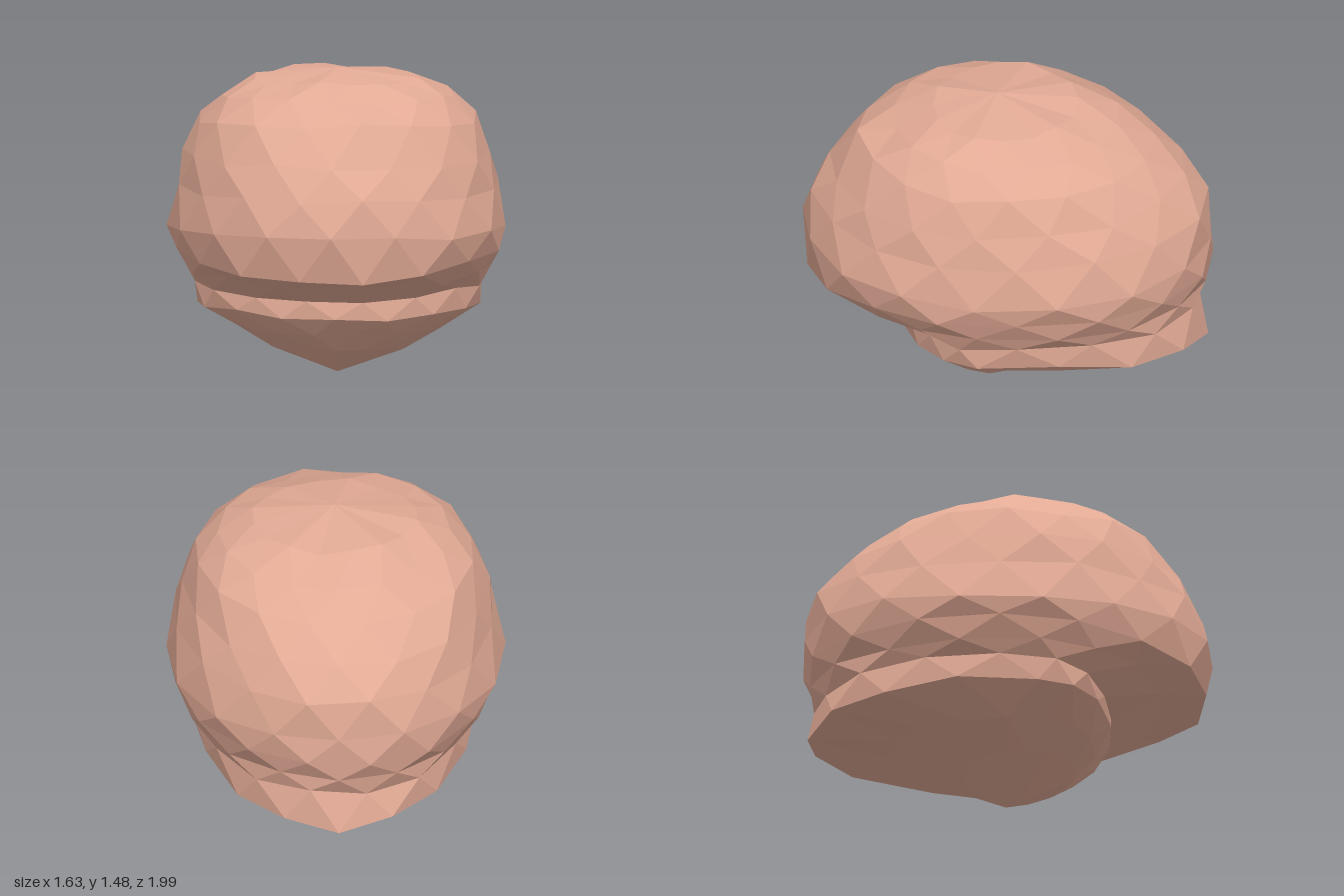
import * as THREE from 'three';

const SEGMENTS = 16;
const CENTRE_Z = 0.05;

// Tilted rings, bottom to top: [front z, front y, side x, side y, back z, back y]
const RINGS = [
  [0.33, 0.15, 0.31, 0.12, -0.20, 0.12], // pointed underside
  [0.43, 0.22, 0.50, 0.22, -0.56, 0.21],
  [0.51, 0.30, 0.68, 0.345, -0.97, 0.26], // lower rim
  [0.50, 0.39, 0.70, 0.44, -0.93, 0.44], // crease
  [0.77, 0.50, 0.74, 0.51, -0.96, 0.53], // overhang underside
  [0.98, 0.54, 0.79, 0.61, -1.00, 0.63], // overhang rim
  [1.01, 0.77, 0.82, 0.71, -0.99, 0.78], // widest part
  [0.96, 0.94, 0.77, 0.91, -0.96, 0.95],
  [0.87, 1.09, 0.74, 1.07, -0.86, 1.10],
  [0.73, 1.28, 0.68, 1.23, -0.70, 1.23],
  [0.56, 1.37, 0.56, 1.34, -0.53, 1.35],
  [0.37, 1.43, 0.40, 1.425, -0.33, 1.425], // crown edge
];

// Repeatable small variation in 0..1
function vary(i, j) {
  const s = Math.sin(i * 127.1 + j * 311.7) * 43758.5453;
  return s - Math.floor(s);
}

function ringPoints([zf, yf, x, ys, zb, yb], i) {
  const points = [];
  for (let j = 0; j < SEGMENTS; j++) {
    const a = ((j + (i % 2) * 0.5) / SEGMENTS) * Math.PI * 2;
    const c = Math.cos(a);
    const reach = c > 0 ? zf - CENTRE_Z : CENTRE_Z - zb;
    const r = 1.012 - 0.03 * vary(i, j);
    const lift = (vary(i + 40, j) - 0.5) * 0.035;
    points.push(new THREE.Vector3(
      x * Math.sin(a) * r,
      ys + ((c > 0 ? yf : yb) - ys) * c * c + lift,
      CENTRE_Z + reach * c * r,
    ));
  }
  return points;
}

function facetedBody() {
  const rings = RINGS.map(ringPoints);
  const bottom = new THREE.Vector3(0, 0, 0.07);
  const top = new THREE.Vector3(0, 1.475, 0.06);
  const corners = [];
  const last = rings.length - 1;
  for (let j = 0; j < SEGMENTS; j++) {
    const n = (j + 1) % SEGMENTS;
    // end caps
    corners.push(bottom, rings[0][n], rings[0][j]);
    corners.push(rings[last][j], rings[last][n], top);
    // staggered triangle bands
    for (let i = 0; i < last; i++) {
      const lo = rings[i], hi = rings[i + 1];
      if (i % 2 === 0) corners.push(lo[j], lo[n], hi[j], lo[n], hi[n], hi[j]);
      else corners.push(lo[j], lo[n], hi[n], lo[j], hi[n], hi[j]);
    }
  }
  const geometry = new THREE.BufferGeometry().setFromPoints(corners);
  geometry.computeVertexNormals();
  return geometry;
}

export function createModel() {
  const group = new THREE.Group();
  group.name = 'lobedBoulder';
  const material = new THREE.MeshStandardMaterial({ color: 0xe2aa95, flatShading: true });
  const body = new THREE.Mesh(facetedBody(), material);
  body.name = 'facetedBody';
  group.add(body);
  return group;
}
